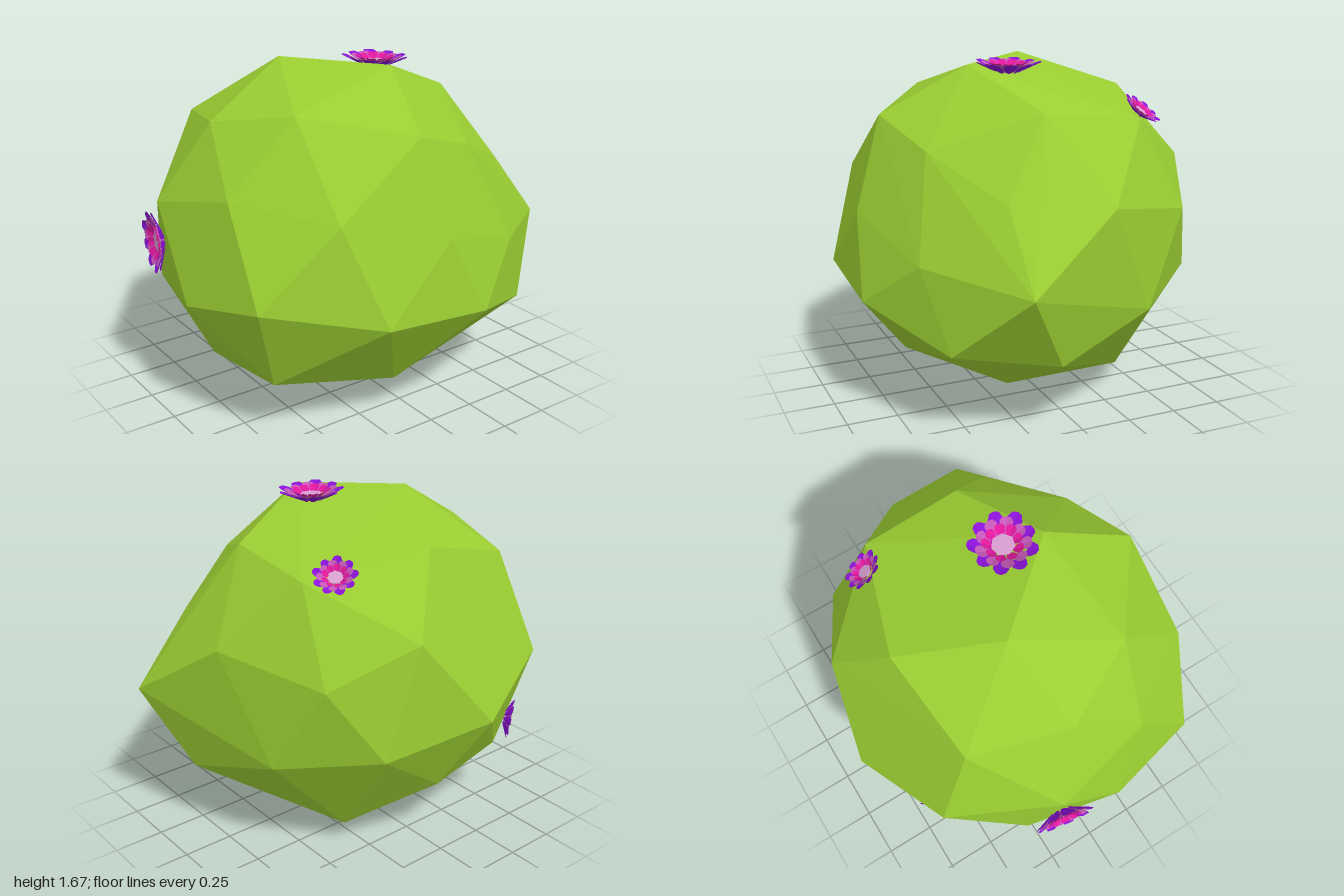
import * as THREE from 'three';
import { ConvexGeometry } from 'three/addons/geometries/ConvexGeometry.js';

const mat = (color) => new THREE.MeshStandardMaterial({ color, flatShading: true, side: THREE.DoubleSide });

// Corners of the lumpy, faceted body
const CORNERS = [
  // crown
  [-0.12, 1.67, 0.285], [0.295, 1.655, -0.07], [-0.57, 1.51, 0.03], [0.7, 1.42, 0.07], [0.36, 1.505, 0.505],
  [-0.036, 1.43, 0.712], [-0.51, 1.37, 0.563], [0.114, 1.473, -0.542], [-0.38, 1.42, -0.55], [0.595, 1.3, -0.304],
  // upper sides
  [-0.2, 1.04, 0.925], [0.294, 1.153, 0.82], [0.725, 1.1, 0.517], [0.845, 0.97, 0], [-0.79, 1.167, -0.21],
  [-0.7, 0.88, 0.65], [-0.108, 1.08, -0.833], [0.36, 1.115, -0.71], [-0.6, 0.98, -0.6], [0.706, 0.82, -0.51],
  // lower sides, with the point at the back
  [-0.897, 0.712, 0.156], [0.596, 0.731, 0.86], [0.136, 0.635, 0.965], [-0.342, 0.6, 0.86], [0.886, 0.634, 0.365],
  [0.888, 0.585, -0.196], [0.362, 0.767, -0.997], [0.62, 0.436, -0.67], [-0.754, 0.62, -0.378], [-0.36, 0.54, -0.72],
  // underside
  [-0.605, 0.362, 0.5], [-0.67, 0.319, 0.04], [0.15, 0.377, -0.834], [0.59, 0.194, 0.11], [0.476, 0.3, 0.716],
  [-0.117, 0.213, 0.705], [-0.31, 0.015, 0.28], [0.117, 0, -0.12], [-0.4, 0.11, -0.33],
];

// Petal from radius r0 to r1, rising from y0 to y1, slightly cupped across
function petalGeometry(r0, r1, width, y0, y1) {
  const outline = [[0, 0.3], [0.35, 0.85], [0.7, 1], [0.93, 0.6], [1, 0]];
  const pos = [], index = [];
  outline.forEach(([t, w]) => {
    const r = r0 + (r1 - r0) * t, y = y0 + (y1 - y0) * t;
    pos.push(-w * width / 2, y + 0.008 * w, r, 0, y, r, w * width / 2, y + 0.008 * w, r);
  });
  for (let i = 0; i < outline.length - 1; i++) {
    for (let j = 0; j < 2; j++) {
      const a = i * 3 + j;
      index.push(a, a + 3, a + 1, a + 1, a + 3, a + 4);
    }
  }
  const g = new THREE.BufferGeometry();
  g.setAttribute('position', new THREE.Float32BufferAttribute(pos, 3));
  g.setIndex(index);
  g.computeVertexNormals();
  return g;
}

// Blossom of about 0.16 radius facing +y
function createFlower() {
  const flower = new THREE.Group();
  const centre = new THREE.Mesh(new THREE.CylinderGeometry(0.056, 0.045, 0.025, 7), mat(0xd8a0d0));
  centre.name = 'flowerCentre';
  centre.position.y = 0.012;
  flower.add(centre);
  const rings = [
    { name: 'innerPetal', color: 0xe0189c, r: [0.045, 0.095], w: 0.05, y: [0.012, 0.045], shift: 0 },
    { name: 'middlePetal', color: 0xc458b8, r: [0.06, 0.128], w: 0.062, y: [0.004, 0.045], shift: 0.5 },
    { name: 'outerPetal', color: 0x8a12d8, r: [0.05, 0.16], w: 0.072, y: [-0.004, 0.048], shift: 0.1 },
  ];
  for (const ring of rings) {
    const geometry = petalGeometry(ring.r[0], ring.r[1], ring.w, ring.y[0], ring.y[1]);
    const material = mat(ring.color);
    for (let i = 0; i < 9; i++) {
      const petal = new THREE.Mesh(geometry, material);
      petal.name = ring.name;
      petal.rotation.y = ((i + ring.shift) / 9) * Math.PI * 2;
      petal.scale.setScalar(1 + 0.03 * Math.sin(i * 2.4));
      flower.add(petal);
    }
  }
  return flower;
}

export function createModel() {
  const model = new THREE.Group();

  const body = new THREE.Mesh(
    new ConvexGeometry(CORNERS.map((c) => new THREE.Vector3(...c))),
    mat(0x9acd32),
  );
  body.name = 'body';
  model.add(body);
  body.updateMatrixWorld(true);

  // Blossoms set on the surface of the body
  const flowers = [
    { name: 'topFlower', at: [0.11, 1.66, -0.12], normal: [0, 1, -0.03], size: 1 },
    { name: 'frontFlower', at: [-0.2, 0.84, 0.93], normal: [-0.15, 0, 1], size: 0.97 },
    { name: 'sideFlower', at: [-0.68, 0.52, 0.53], normal: [-0.72, -0.15, 0.62], size: 0.64 },
    { name: 'backFlower', at: [-0.45, 1.43, -0.42], normal: [-0.4, 0.75, -0.4], size: 0.64 },
  ];
  const ray = new THREE.Raycaster();
  for (const f of flowers) {
    const normal = new THREE.Vector3(...f.normal).normalize();
    const at = new THREE.Vector3(...f.at);
    ray.set(at.clone().addScaledVector(normal, 0.5), normal.clone().negate());
    const hit = ray.intersectObject(body)[0];
    const flower = createFlower();
    flower.name = f.name;
    flower.position.copy(hit ? hit.point : at).addScaledVector(normal, 0.006);
    flower.quaternion.setFromUnitVectors(new THREE.Vector3(0, 1, 0), normal);
    flower.scale.setScalar(f.size);
    model.add(flower);
  }
  return model;
}
